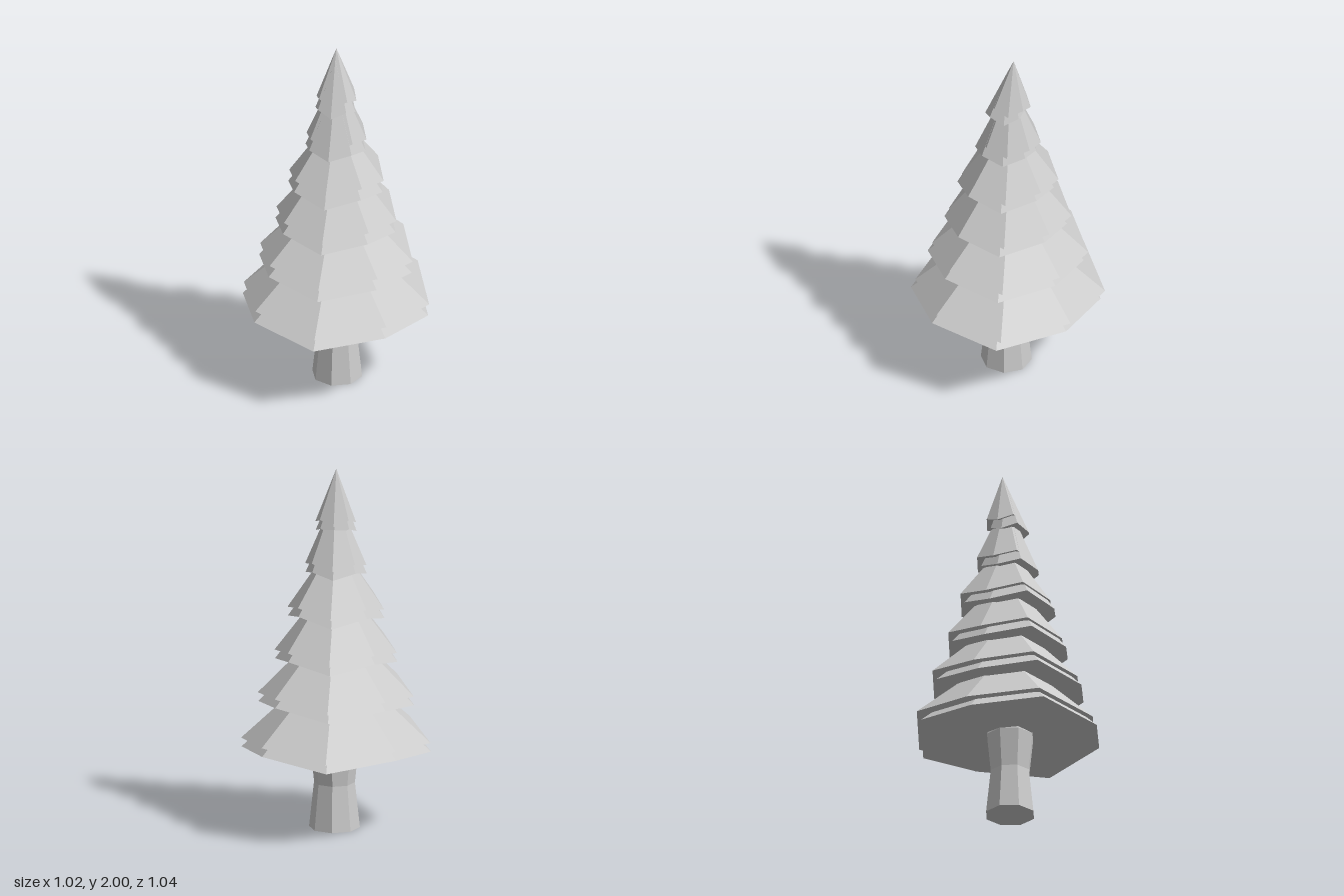
import * as THREE from 'three';

const SIDES = 8;

// Tiers of branches from bottom to top: rim radius, rim height, radius and height where the skirt ends
const TIERS = [
  [0.51, 0.485, 0.21, 0.77],
  [0.42, 0.74, 0.175, 0.995],
  [0.33, 0.98, 0.135, 1.24],
  [0.26, 1.22, 0.09, 1.475],
  [0.165, 1.465, 0.06, 1.715],
  [0.11, 1.70, 0, 2.0],
];

function material() {
  return new THREE.MeshStandardMaterial({ color: 0xcccccc, flatShading: true });
}

// Zigzag profile turned around the axis, with every second corner lifted
function foliageGeometry() {
  const profile = [new THREE.Vector2(0, 0.52), new THREE.Vector2(0.25, 0.51)];
  const lifts = [0, 0.02];
  for (const [r, y, innerR, innerY] of TIERS) {
    const lift = r > 0.2 ? 0.045 : 0.03;
    profile.push(new THREE.Vector2(r, y), new THREE.Vector2(innerR, innerY));
    lifts.push(lift, lift * innerR / r);
  }
  const geo = new THREE.LatheGeometry(profile, SIDES);
  const pos = geo.attributes.position;
  const n = profile.length;
  for (let i = 0; i < pos.count; i++) {
    const corner = Math.floor(i / n), ring = i % n;
    if (corner % 2 === 1) pos.setY(i, pos.getY(i) + lifts[ring]);
    // the tip leans slightly
    if (ring === n - 1) pos.setXYZ(i, -0.005, pos.getY(i), -0.018);
  }
  const flat = geo.toNonIndexed();
  flat.computeVertexNormals();
  return flat;
}

function trunkGeometry() {
  const profile = [[0, 0], [0.137, 0], [0.11, 0.25], [0.132, 0.46], [0.1, 0.54], [0, 0.54]]
    .map(([r, y]) => new THREE.Vector2(r, y));
  const flat = new THREE.LatheGeometry(profile, SIDES).toNonIndexed();
  flat.computeVertexNormals();
  return flat;
}

export function createModel() {
  const tree = new THREE.Group();
  tree.name = 'firTree';

  const trunk = new THREE.Mesh(trunkGeometry(), material());
  trunk.name = 'trunk';
  trunk.position.set(0.005, 0, 0.008);
  tree.add(trunk);

  // Two nested layers of branches, the second lower and a little forward
  const geo = foliageGeometry();
  [['upperFoliage', 0, -0.012], ['lowerFoliage', -0.055, 0.012]].forEach(([name, y, z]) => {
    const layer = new THREE.Mesh(geo, material());
    layer.name = name;
    layer.position.set(-0.004, y, z);
    tree.add(layer);
  });

  return tree;
}
